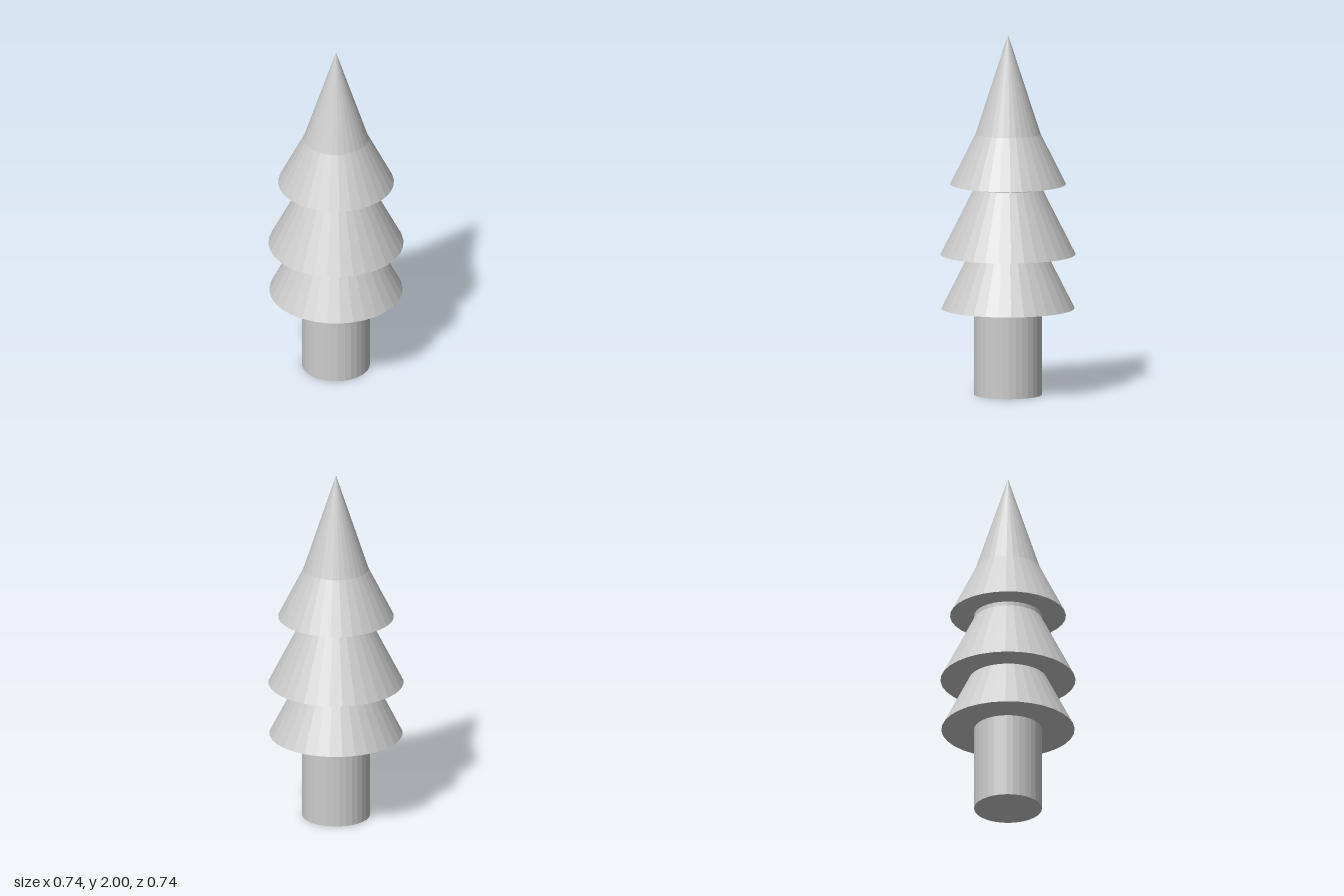
import * as THREE from 'three';

const SIDES = 32;

export function createModel() {
  const tree = new THREE.Group();
  tree.name = 'tree';
  const grey = new THREE.MeshStandardMaterial({ color: 0xcccccc });
  grey.name = 'plain grey';
  grey.flatShading = true;

  // Adds a capped round section between two heights
  function section(name, bottomY, topY, bottomR, topR) {
    const geometry = new THREE.CylinderGeometry(topR, bottomR, topY - bottomY, SIDES);
    const mesh = new THREE.Mesh(geometry, grey);
    mesh.name = name;
    mesh.position.y = (bottomY + topY) / 2;
    tree.add(mesh);
  }

  // Trunk runs up inside the branch tiers
  section('trunk', 0, 1.3, 0.187, 0.187);

  // Flared branch tiers
  section('lowerTier', 0.48, 0.85, 0.367, 0.18);
  section('middleTier', 0.78, 1.16, 0.372, 0.18);
  section('upperTier', 1.17, 1.45, 0.319, 0.179);

  // Pointed top
  section('treeTip', 1.45, 2, 0.179, 0);

  return tree;
}
